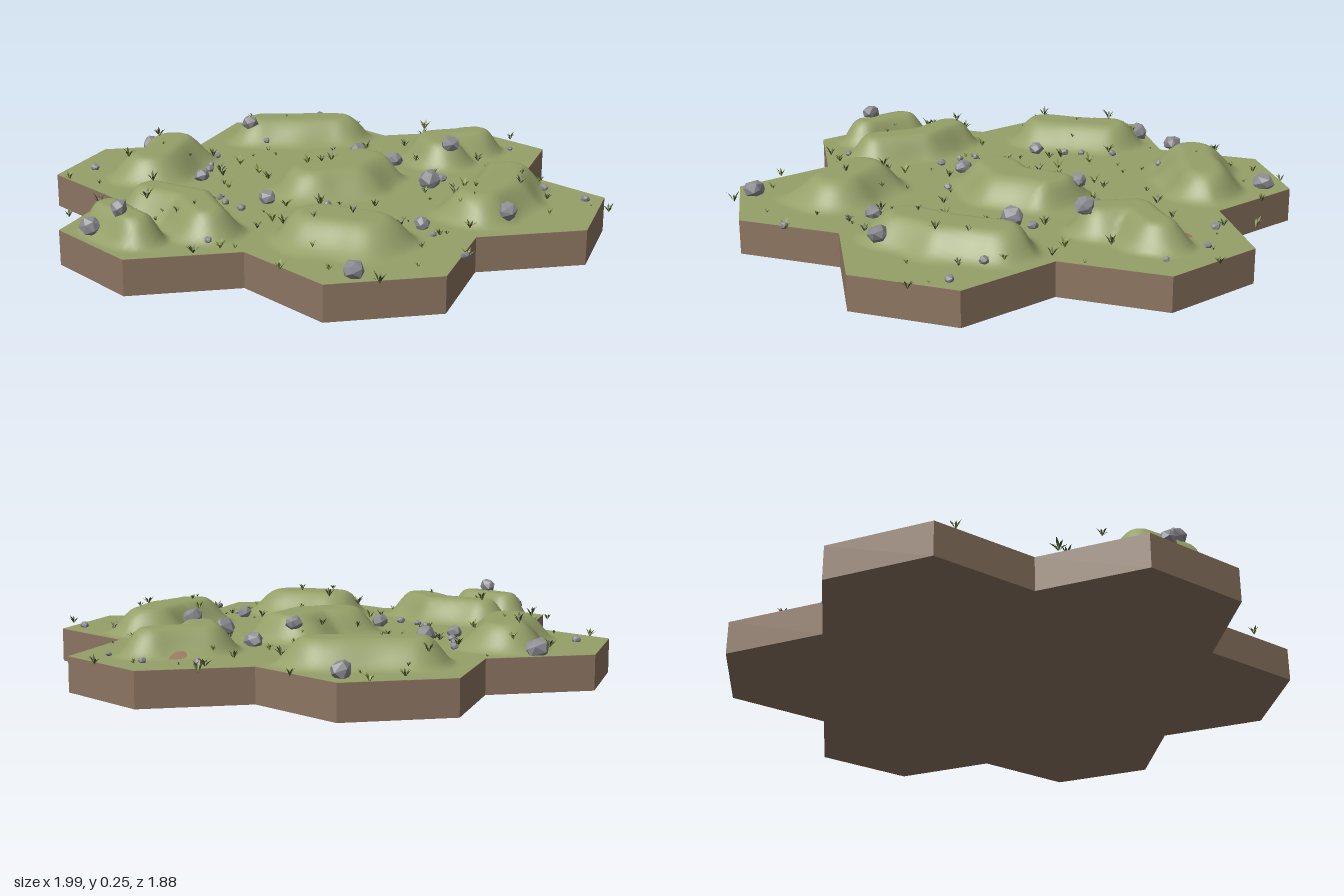
import * as THREE from 'three';
import { mergeGeometries, mergeVertices } from 'three/addons/utils/BufferGeometryUtils.js';
import { ConvexGeometry } from 'three/addons/geometries/ConvexGeometry.js';

const CX = -0.025, A = 0.325, R = A * 2 / Math.sqrt(3), TOP = 0.12, RISE = 0.09;
const rad = THREE.MathUtils.degToRad;

let seed = 7;
const rnd = (a = 0, b = 1) => {
  seed = (seed * 16807) % 2147483647;
  return a + (b - a) * seed / 2147483647;
};

// Tile centres: one in the middle, six around it
const tiles = [[CX, 0]];
for (let k = 0; k < 6; k++) tiles.push([CX + 2 * A * Math.cos(rad(60 * k)), 2 * A * Math.sin(rad(60 * k))]);

// Hills: outer radius and ridge line of [x, z] points
const hills = [
  [0.18, [[-0.09, 0.03], [0.02, 0.06], [0.17, 0]]],
  [0.16, [[-0.43, -0.5], [-0.33, -0.56], [-0.22, -0.65]]],
  [0.16, [[0.23, -0.66], [0.34, -0.57], [0.45, -0.48]]],
  [0.11, [[-0.86, -0.1], [-0.87, 0.06]]],
  [0.13, [[-0.64, -0.17], [-0.59, 0], [-0.66, 0.16]]],
  [0.2, [[-0.4, 0.42], [-0.34, 0.55]]],
  [0.17, [[0.15, 0.59], [0.3, 0.55], [0.43, 0.46]]],
  [0.13, [[0.5, 0.07], [0.57, -0.03], [0.72, 0.03]]],
];

function segmentDistance(x, z, [ax, az], [bx, bz]) {
  const dx = bx - ax, dz = bz - az;
  const t = THREE.MathUtils.clamp(((x - ax) * dx + (z - az) * dz) / (dx * dx + dz * dz), 0, 1);
  return Math.hypot(x - ax - t * dx, z - az - t * dz);
}

// Distance to the nearest tile border, from 0 at the border to 1 at a tile centre
function inside(x, z) {
  return Math.max(...tiles.map(([tx, tz]) => 1 - Math.max(...[0, 60, 120].map(
    a => Math.abs((x - tx) * Math.cos(rad(a)) + (z - tz) * Math.sin(rad(a))) / A))));
}

function ground(x, z) {
  let h = 0;
  const wobble = 1 + 0.1 * Math.sin(17 * x + 5 * z) * Math.cos(19 * z - 4 * x);
  for (const [r, line] of hills) {
    let d = Infinity;
    for (let i = 0; i + 1 < line.length; i++) d = Math.min(d, segmentDistance(x, z, line[i], line[i + 1]));
    h = Math.max(h, 1 - THREE.MathUtils.smoothstep(d * wobble, r * 0.3, r));
  }
  return TOP + RISE * h * THREE.MathUtils.smoothstep(inside(x, z), 0, 0.28);
}

function triangles(pos) {
  const g = new THREE.BufferGeometry();
  g.setAttribute('position', new THREE.Float32BufferAttribute(pos, 3));
  return g;
}

// Grassy surface: each tile is six sectors of a triangular lattice
function terrainGeometry() {
  const n = 22, pos = [];
  for (const [tx, tz] of tiles) for (let k = 0; k < 6; k++) {
    const a = rad(30 + 60 * k), b = a + rad(60);
    const put = (i, j) => {
      const x = tx + R * (Math.cos(b) * i + Math.cos(a) * j) / n;
      const z = tz + R * (Math.sin(b) * i + Math.sin(a) * j) / n;
      pos.push(x, ground(x, z), z);
    };
    for (let i = 0; i < n; i++) for (let j = 0; j < n - i; j++) {
      put(i, j); put(i + 1, j); put(i, j + 1);
      if (i + j < n - 1) { put(i + 1, j); put(i + 1, j + 1); put(i, j + 1); }
    }
  }
  const g = mergeVertices(triangles(pos), 1e-4);
  g.computeVertexNormals();
  return g;
}

// Earth slab under all tiles
function slabGeometry() {
  const pts = [];
  for (let k = 0; k < 6; k++) for (const o of [-30, 30, 90]) {
    const [x, z] = tiles[k + 1], a = rad(60 * k + o);
    pts.push(new THREE.Vector2(x + R * Math.cos(a), z + R * Math.sin(a)));
  }
  return new THREE.ExtrudeGeometry(new THREE.Shape(pts), { depth: TOP - 0.001, bevelEnabled: false }).rotateX(-Math.PI / 2);
}

// Faceted stone, the hull of scattered points
function rockGeometry(r) {
  const pts = [];
  for (let i = 0; i < 18; i++) {
    const y = 1 - 2 * (i + 0.5) / 18, w = Math.sqrt(1 - y * y), a = i * 2.4 + rnd(-0.3, 0.3), s = r * rnd(0.88, 1.12);
    pts.push(new THREE.Vector3(w * Math.cos(a) * s, y * s * 0.85, w * Math.sin(a) * s * 0.9));
  }
  return new ConvexGeometry(pts).rotateY(rnd(0, 6));
}

// Grass tuft: bent, pointed blades spreading from one root
function tuftGeometry(x, z, size) {
  const pos = [], y = ground(x, z), n = 6, turn = rnd(0, 6);
  for (let i = 0; i < n; i++) {
    const a = turn + i * Math.PI * 2 / n + rnd(-0.25, 0.25), c = Math.cos(a), s = Math.sin(a);
    const len = size * rnd(0.7, 1.1), up = size * rnd(0.7, 1.4), w = size * 0.17;
    const at = (out, h, side) => [x + c * out - s * side, y + h, z + s * out + c * side];
    const root = at(0, -0.002, 0), l = at(len * 0.5, up * 0.65, w), r = at(len * 0.5, up * 0.65, -w), tip = at(len, up, 0);
    pos.push(...root, ...l, ...r, ...l, ...tip, ...r);
  }
  const g = triangles(pos);
  g.computeVertexNormals();
  return g;
}

// Bare earth patch lying on the grass
function patchGeometry(x, z, rx, rz) {
  const g = new THREE.CircleGeometry(1, 14).rotateX(-Math.PI / 2).scale(rx, 1, rz).translate(x, 0, z);
  const p = g.attributes.position;
  for (let i = 0; i < p.count; i++) p.setY(i, ground(p.getX(i), p.getZ(i)) + 0.003);
  g.computeVertexNormals();
  return g;
}

// Stones: x, z, radius
const rocks = [
  [-0.21, -0.81, 0.042], [-0.53, -0.72, 0.017], [0.14, -0.64, 0.035], [0.155, -0.555, 0.014], [0.55, -0.69, 0.04],
  [-0.31, -0.35, 0.03], [-0.22, -0.42, 0.017], [-0.18, -0.47, 0.014], [-0.09, -0.55, 0.016], [-0.95, -0.07, 0.038],
  [-0.9, 0.02, 0.034], [-0.4, -0.12, 0.014], [-0.42, -0.06, 0.014], [-0.42, 0.03, 0.017], [-0.3, 0.02, 0.034],
  [0.22, -0.09, 0.03], [0.36, -0.04, 0.036], [0.49, 0.13, 0.037], [0.26, 0.25, 0.045], [0.345, 0.23, 0.02],
  [-0.17, 0.19, 0.015], [0.74, -0.23, 0.017], [0.845, -0.08, 0.014], [0.845, 0.11, 0.012], [-0.72, 0.25, 0.014],
  [-0.56, 0.76, 0.038], [-0.09, 0.57, 0.03], [0.155, 0.72, 0.037], [0.51, 0.57, 0.017], [0.545, 0.73, 0.017],
  [-0.19, 0.86, 0.016], [-0.12, 0.65, 0.012],
];

// Tufts: x, z
const tufts = [
  -0.67, -0.67, -0.36, -0.74, -0.26, -0.69, -0.17, -0.74, -0.49, -0.55, -0.11, -0.55, -0.08, -0.42, -0.2, -0.38,
  -0.22, -0.34, -0.1, -0.28, -0.75, -0.34, -0.9, -0.29, -0.52, -0.25, -0.62, -0.2, -0.7, -0.12, -0.3, -0.2,
  -0.07, -0.1, -0.12, -0.2, 0.12, -0.26, 0.18, -0.25, 0.1, -0.1, 0.25, -0.13, 0.25, -0.76, 0.4, -0.81,
  0.54, -0.8, 0.65, -0.57, 0.43, -0.27, 0.82, -0.34, 0.74, -0.27, 0.57, -0.2, 0.38, -0.15, 0.97, 0,
  0.63, 0.14, 0.55, 0.27, 0.35, 0.18, 0.41, 0.03, 0.19, 0.3, -0.05, 0.3, -0.28, 0.1, -0.42, 0.2,
  -0.5, 0.22, -0.8, 0.28, -0.71, 0.3, -0.48, 0.33, -0.34, 0.35, -0.69, 0.57, -0.34, 0.51, -0.13, 0.51,
  -0.58, 0.67, -0.1, 0.66, 0.02, 0.68, 0.2, 0.48, 0.33, 0.62, 0.46, 0.63, 0.55, 0.52, 0.51, 0.86,
  -0.54, 0.85, -0.18, 0.86, 0.24, 0.4, 0.58, 0.35,
];

export function createModel() {
  const mat = (name, color, side = THREE.FrontSide) => Object.assign(new THREE.MeshStandardMaterial({ color, side }), { name });
  const stone = mat('grey stone', 0x8a8a90);
  const model = new THREE.Group();
  model.name = 'hillyTiles';
  const add = (name, geometry, material, parent = model) => {
    const mesh = new THREE.Mesh(geometry, material);
    mesh.name = name;
    parent.add(mesh);
    return mesh;
  };

  add('earthSlab', slabGeometry(), mat('brown earth', 0x8c7561));
  add('grassSurface', terrainGeometry(), mat('meadow green', 0x95a069));
  add('barePatches', mergeGeometries([patchGeometry(-0.38, -0.67, 0.018, 0.014), patchGeometry(0.72, -0.1, 0.035, 0.018)]),
    mat('reddish earth', 0x9c7a60));

  const stones = new THREE.Group();
  stones.name = 'stones';
  model.add(stones);
  for (const [x, z, r] of rocks) add('stone', rockGeometry(r), stone, stones).position.set(x, ground(x, z) + r * 0.5, z);

  // Large placed tufts and small scattered ones, in two greens
  const dark = [], light = [];
  for (let i = 0; i < tufts.length; i += 2) (i % 6 ? dark : light).push(tuftGeometry(tufts[i], tufts[i + 1], rnd(0.018, 0.028)));
  for (let i = 0; i < 70; i++) {
    const x = rnd(-0.95, 0.9), z = rnd(-0.9, 0.9), size = rnd(0.007, 0.016);
    if (inside(x, z) > 0.05) (i % 3 ? dark : light).push(tuftGeometry(x, z, size));
  }
  add('darkTufts', mergeGeometries(dark), mat('dark grass', 0x4c5a2c, THREE.DoubleSide));
  add('lightTufts', mergeGeometries(light), mat('light grass', 0x75863c, THREE.DoubleSide));
  return model;
}
